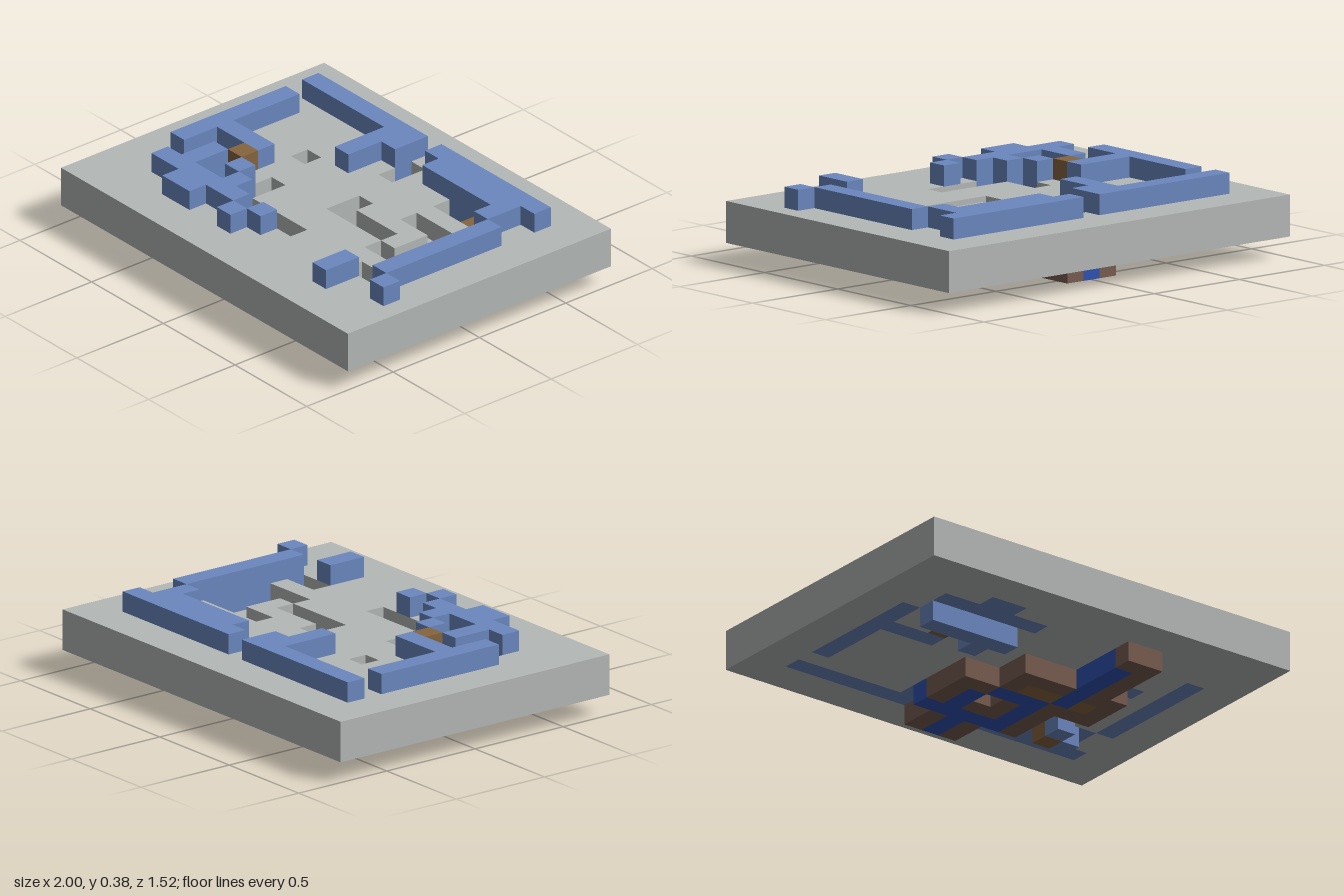
import * as THREE from 'three';

const NX = 21, NY = 4, NZ = 16, S = 2 / NX;

const mat = (name, color) => Object.assign(new THREE.MeshStandardMaterial({ color }), { name });

export function createModel() {
  const mats = {
    stone: mat('stone grey', 0xb4b8b7),
    pale: mat('pale blue', 0x6b88bf),
    water: mat('deep blue', 0x3052b2),
    wood: mat('ochre brown', 0x86653f),
    earth: mat('earth brown', 0x785c50),
  };
  const grid = new Map();
  const key = (x, y, z) => (x < 0 || y < 0 || z < 0 || x >= NX || y >= NY || z >= NZ ? -1 : (y * NZ + z) * NX + x);

  // Fill inclusive cell boxes [x0, x1, z0, z1] over layers y0..y1; a null part carves.
  const fill = (part, y0, y1, boxes) => {
    for (const [x0, x1, z0, z1] of boxes)
      for (let y = y0; y <= y1; y++)
        for (let z = z0; z <= z1; z++)
          for (let x = x0; x <= x1; x++)
            if (part) grid.set(key(x, y, z), part);
            else grid.delete(key(x, y, z));
  };

  // Slab, two cells thick, with shallow pits and shafts
  fill('slab', 1, 2, [[0, 20, 0, 15]]);
  fill(null, 2, 2, [
    [6, 6, 6, 6], [7, 7, 9, 10], [5, 5, 10, 10], [8, 11, 11, 11], [3, 3, 11, 11], [5, 6, 11, 11],
    [14, 17, 6, 6], [16, 17, 7, 8], [15, 17, 9, 9], [16, 17, 11, 11], [14, 14, 4, 4],
  ]);
  fill(null, 1, 2, [[10, 10, 3, 4], [15, 15, 4, 4], [11, 11, 7, 7], [11, 14, 8, 8]]);

  // Walls that run through the slab and stand one cell above it
  fill('walls', 1, 3, [
    [2, 9, 2, 2], [8, 9, 3, 3], [8, 8, 4, 5],
    [11, 18, 2, 2], [12, 17, 3, 3], [17, 17, 4, 4], [18, 18, 5, 11],
    [2, 2, 4, 10], [3, 5, 8, 8],
    [4, 4, 10, 11], [6, 6, 10, 10], [7, 7, 11, 11], [3, 8, 12, 12], [5, 6, 13, 13],
  ]);
  // Loose blocks on top
  fill('blocks', 3, 3, [[9, 9, 13, 13], [10, 10, 12, 12], [16, 16, 12, 13], [19, 19, 12, 12]]);

  // Inlaid floors and wooden posts in the slab
  fill('inlay', 1, 1, [[16, 16, 9, 9]]);
  fill('earthFloor', 1, 1, [[5, 5, 10, 10], [7, 7, 10, 10]]);
  fill('posts', 1, 3, [[5, 5, 9, 9]]);
  fill('posts', 1, 2, [[16, 16, 4, 4]]);

  // Hanging layer below: pale blocks, brown banks, water channel, wooden planks
  fill('lowerBlocks', 0, 0, [[3, 6, 11, 11], [6, 6, 10, 10], [7, 7, 11, 11], [16, 16, 4, 4], [15, 15, 5, 5]]);
  fill('banks', 0, 0, [
    [9, 9, 2, 3], [11, 11, 2, 3], [13, 13, 4, 6], [13, 15, 7, 7], [15, 15, 8, 9], [14, 14, 9, 13],
    [13, 13, 13, 13], [10, 12, 9, 9], [10, 10, 8, 8], [8, 8, 5, 7], [9, 9, 7, 7], [10, 10, 5, 5], [11, 11, 5, 6],
  ]);
  fill('water', 0, 0, [[10, 10, 2, 3], [8, 12, 4, 4], [9, 9, 5, 6], [12, 12, 5, 6], [10, 12, 7, 7], [13, 13, 8, 12]]);
  fill('planks', 0, 0, [[11, 12, 8, 8], [14, 14, 8, 8], [15, 15, 4, 4]]);

  // One mesh per part, made of the cell faces that are exposed
  const partMats = {
    slab: mats.stone, walls: mats.pale, blocks: mats.pale, inlay: mats.pale, lowerBlocks: mats.pale,
    earthFloor: mats.earth, banks: mats.earth, water: mats.water, posts: mats.wood, planks: mats.wood,
  };
  const group = new THREE.Group();
  group.name = 'layeredCellMap';
  for (const [name, material] of Object.entries(partMats)) {
    const pos = [], nor = [], idx = [];
    for (const [k, part] of grid) {
      if (part !== name) continue;
      const c = [k % NX, Math.floor(k / (NX * NZ)), Math.floor(k / NX) % NZ];
      for (let a = 0; a < 3; a++) {
        for (const s of [1, -1]) {
          const n = [0, 0, 0];
          n[a] = s;
          if (grid.has(key(c[0] + n[0], c[1] + n[1], c[2] + n[2]))) continue;
          const b = pos.length / 3, u = (a + 1) % 3, v = (a + 2) % 3;
          for (const [p, q] of [[0, 0], [1, 0], [1, 1], [0, 1]]) {
            const o = [...c];
            o[a] += s > 0 ? 1 : 0;
            o[u] += p;
            o[v] += q;
            pos.push((o[0] - NX / 2) * S, o[1] * S, (o[2] - NZ / 2) * S);
            nor.push(...n);
          }
          if (s > 0) idx.push(b, b + 1, b + 2, b, b + 2, b + 3);
          else idx.push(b, b + 2, b + 1, b, b + 3, b + 2);
        }
      }
    }
    const geo = new THREE.BufferGeometry();
    geo.setAttribute('position', new THREE.Float32BufferAttribute(pos, 3));
    geo.setAttribute('normal', new THREE.Float32BufferAttribute(nor, 3));
    geo.setIndex(idx);
    const mesh = new THREE.Mesh(geo, material);
    mesh.name = name;
    group.add(mesh);
  }
  return group;
}
